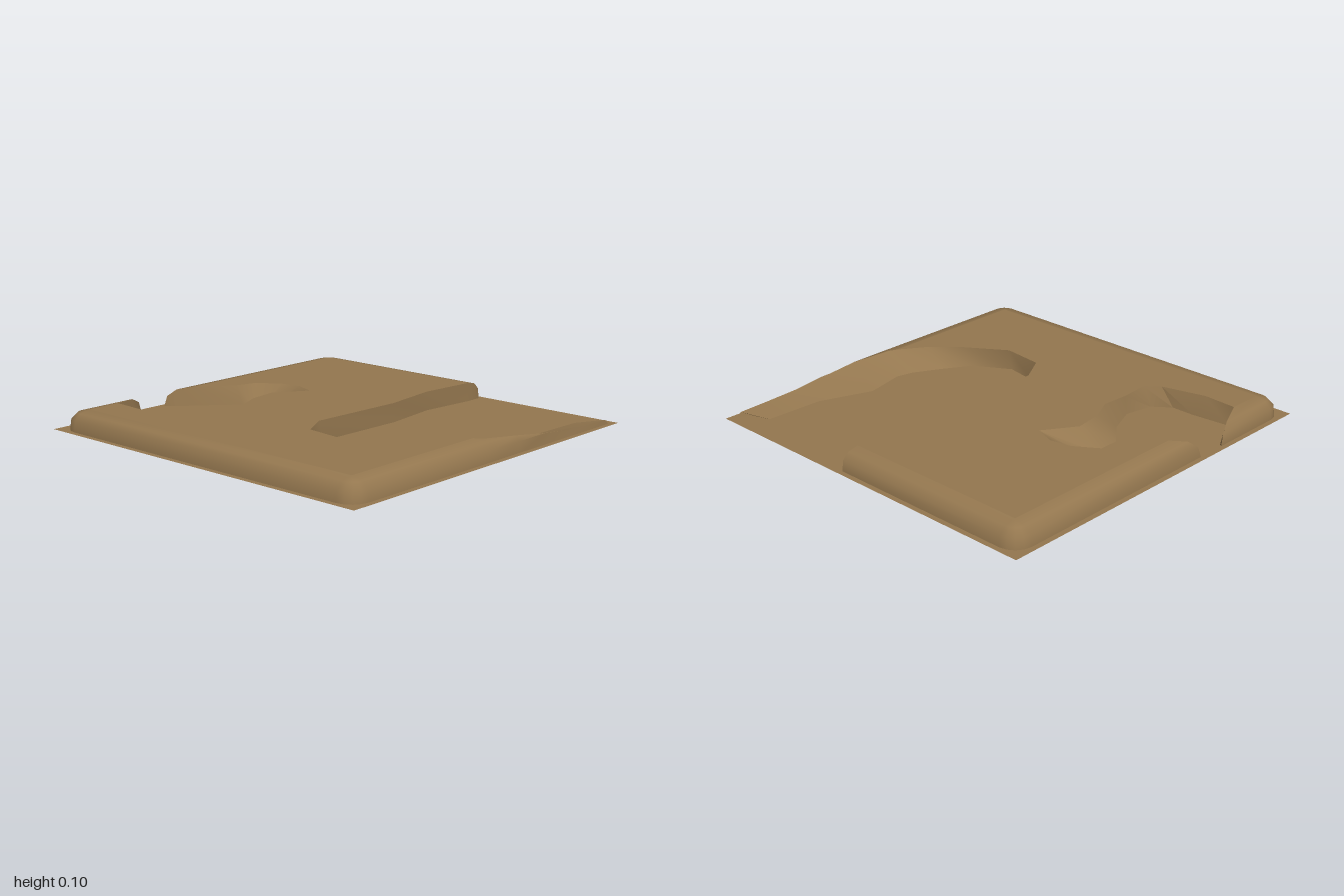
import * as THREE from 'three';
import { toCreasedNormals } from 'three/addons/utils/BufferGeometryUtils.js';

const E = 0.972;                 // half width of the plateau at its foot
const R = 0.1;                   // width of the rounded border
const TOP = 0.1;                 // plateau height
const PROFILE = [[0, 0], [0.008, 0.055], [0.04, 0.088], [R, TOP]]; // inset, height

// Skin between neighbouring columns of points
function loft(columns) {
  const n = columns[0].length, index = [];
  for (let i = 0; i < columns.length - 1; i++) {
    for (let j = 0; j < n - 1; j++) {
      const a = i * n + j, b = a + n;
      index.push(a, b, b + 1, a, b + 1, a + 1);
    }
  }
  const geo = new THREE.BufferGeometry();
  geo.setAttribute('position', new THREE.Float32BufferAttribute(columns.flat(2), 3));
  geo.setIndex(index);
  return toCreasedNormals(geo, 0.8);
}

// Flat horizontal face through an outline of [x, y, z] points
function flatFace(points, y, up) {
  const outline = points.filter((p, i) => {
    const q = points[(i + 1) % points.length];
    return Math.hypot(p[0] - q[0], p[2] - q[2]) > 1e-4;
  });
  const s = up ? -1 : 1;
  const shape = new THREE.Shape(outline.map(p => new THREE.Vector2(p[0], s * p[2])));
  return new THREE.ShapeGeometry(shape).rotateX(s * Math.PI / 2).translate(0, y, 0);
}

// Rounded corner columns around one corner of the plateau
function corner(sx, sz, from, to) {
  const c = E - R, cols = [];
  for (let i = 0; i <= 4; i++) {
    const a = THREE.MathUtils.degToRad(from + (to - from) * i / 4);
    cols.push(PROFILE.map(([d, y]) =>
      [sx * c + Math.cos(a) * (R - d), y, sz * c + Math.sin(a) * (R - d)]));
  }
  return cols;
}

// Left border column whose foot-to-top points run along the hollow's mouth
const leftColumn = zs => PROFILE.map(([d, y], i) => [-E + d, y, zs[i]]);

// Large hollow: rim x, z, y and the matching floor x, z
const rightRim = [
  [0.972, -0.95, 0, 0.968, -0.95], [0.968, -0.93, 0.025, 0.93, -0.88],
  [0.966, -0.75, 0.03, 0.83, -0.85], [0.964, -0.58, 0.037, 0.82, -0.54],
  [0.958, -0.4, 0.055, 0.75, -0.35], [0.945, -0.2, 0.08, 0.72, -0.27],
  [0.9, 0, 0.095, 0.77, -0.05],
];
const largeRim = [
  [0.872, 0.04, TOP, 0.75, 0.04], [0.78, 0.18, TOP, 0.67, 0.19],
  [0.64, 0.31, TOP, 0.585, 0.33], [0.43, 0.45, TOP, 0.4, 0.44],
  [0.21, 0.425, TOP, 0.23, 0.41], [0.125, 0.275, TOP, 0.14, 0.26],
  [0.15, -0.25, TOP, 0.155, -0.25], [0.11, -0.56, TOP, 0.115, -0.56],
];
// Small hollow, same layout
const smallRim = [
  [-0.73, 0, TOP, -0.69, 0], [-0.7, -0.11, TOP, -0.66, -0.04],
  [-0.58, -0.19, TOP, -0.62, -0.08], [-0.47, -0.21, TOP, -0.58, -0.08],
  [-0.36, -0.17, TOP, -0.57, -0.06], [-0.47, 0, TOP, -0.575, 0],
  [-0.45, 0.15, TOP, -0.575, 0.15], [-0.39, 0.28, TOP, -0.47, 0.28],
  [-0.4, 0.42, TOP, -0.41, 0.43], [-0.39, 0.58, TOP, -0.44, 0.58],
  [-0.46, 0.64, TOP, -0.53, 0.65], [-0.69, 0.7, TOP, -0.66, 0.65],
];
const wallColumn = ([x, z, y, fx, fz]) => [[x, y, z], [fx, 0, fz]];
// Wall columns that follow a border column, with the floor slightly offset
const mouth = (col, dx, dz) => col.map(([x, y, z]) =>
  [[x, y, z], [x + dx * y / TOP, 0, z + dz * y / TOP]]);

export function createModel() {
  const group = new THREE.Group();
  const earth = new THREE.MeshStandardMaterial({ color: 0x94774f, side: THREE.DoubleSide });
  earth.name = 'earth brown';
  const dark = new THREE.MeshStandardMaterial({ color: 0x080808 });
  dark.name = 'underside black';
  const add = (name, geo, mat) => {
    const mesh = new THREE.Mesh(geo, mat);
    mesh.name = name;
    group.add(mesh);
  };

  // Border from the small hollow round the front to the right side
  const frontFull = [
    leftColumn([0.46, 0.48, 0.55, 0.69]),
    ...corner(-1, 1, 180, 90),
    ...corner(1, 1, 90, 0),
    PROFILE.map(([d, y]) => [E - d, y, 0.04]),
  ];
  // The right side sinks towards the back along the large hollow's rim
  const sinking = [...rightRim].reverse().map(([x, z, h]) =>
    PROFILE.map(([d, y]) => [E - Math.min(d, E - x), Math.min(y, h), z]));
  const frontBorder = [...frontFull, ...sinking];

  // Border along the back and the left side
  const backBorder = [
    PROFILE.map(([d, y]) => [0.14, y, -E + d]),
    ...corner(-1, -1, 270, 180),
    leftColumn([0.3, 0.285, 0.245, 0.17]),
  ];

  // Sloping walls of the two hollows
  const largeWall = [
    ...rightRim.map(wallColumn), ...largeRim.map(wallColumn),
    ...mouth([...backBorder[0]].reverse(), 0.006, 0),
  ];
  const smallWall = [
    ...mouth(backBorder[backBorder.length - 1], 0.015, 0.015),
    ...smallRim.map(wallColumn),
    ...mouth([...frontBorder[0]].reverse(), 0.012, -0.02),
  ];

  add('frontBorder', loft(frontBorder), earth);
  add('backBorder', loft(backBorder), earth);
  add('largeHollowWall', loft(largeWall), earth);
  add('smallHollowWall', loft(smallWall), earth);

  // Plateau top, outlined by the borders and both rims
  const rim = list => list.map(([x, z, y]) => [x, y, z]);
  add('plateauTop', flatFace([
    ...frontFull.map(c => c[3]), ...rim(largeRim),
    ...backBorder.map(c => c[3]), ...rim(smallRim),
  ], TOP, true), earth);

  // Ground sheet, with the dark underside of the plateau just beneath
  add('ground', new THREE.PlaneGeometry(2, 2).rotateX(-Math.PI / 2).translate(0, 0.0015, 0), earth);
  add('underside', flatFace([
    ...frontBorder.map(c => c[0]), ...largeWall.map(c => c[1]),
    ...backBorder.map(c => c[0]), ...smallWall.map(c => c[1]),
  ], 0, false), dark);

  return group;
}
